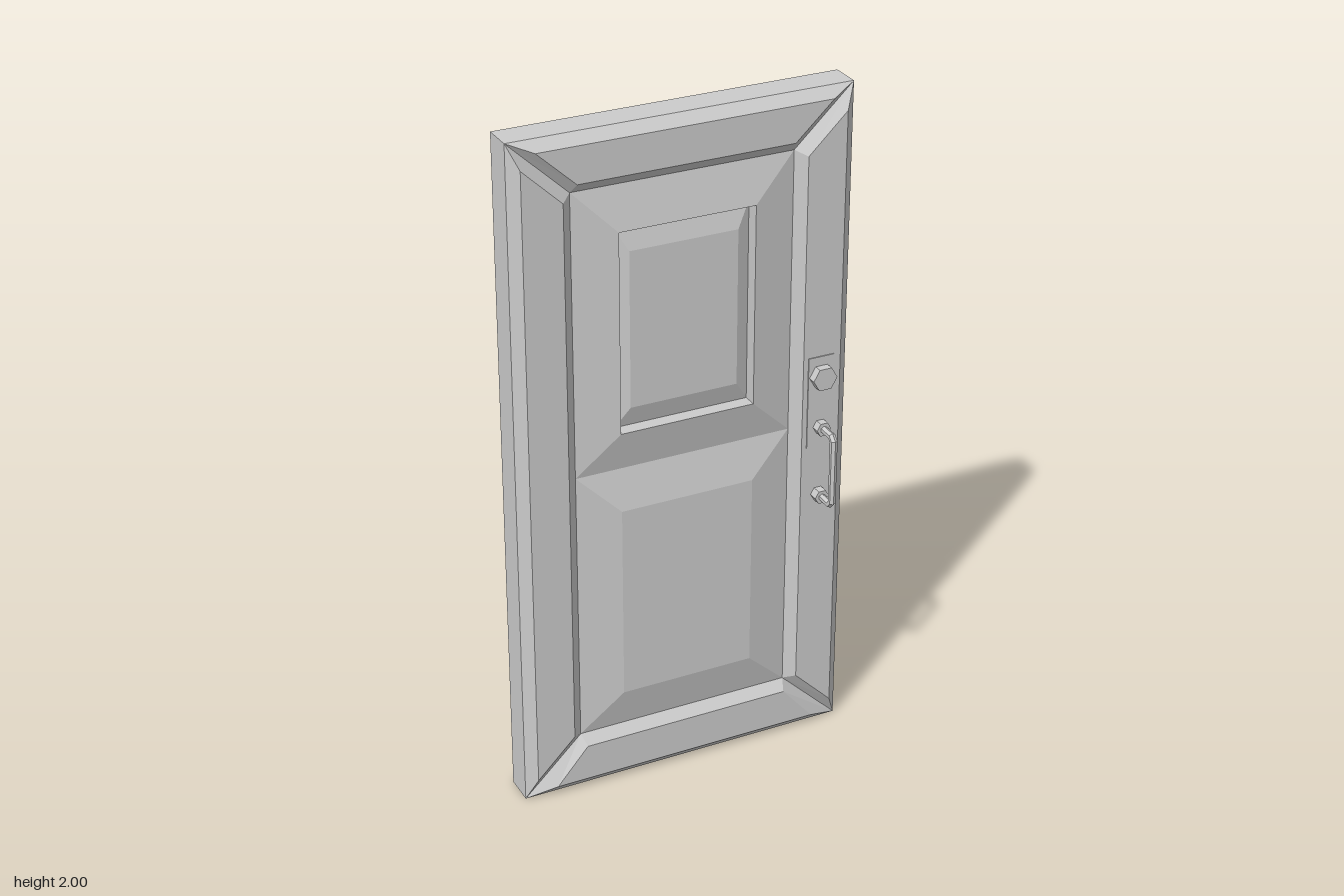
import * as THREE from 'three';

const material = new THREE.MeshStandardMaterial({ color: 0xcccccc, flatShading: true });
const CORE = 0.045; // half thickness of the slab
const FACE = 0.072; // raised level of frame and panels

function addMesh(parent, name, geometry) {
  const mesh = new THREE.Mesh(geometry, material);
  mesh.name = name;
  parent.add(mesh);
  return mesh;
}

// Rectangle corners, counter-clockwise from the front
const rect = (halfWidth, y0, y1) => [[-halfWidth, y0], [halfWidth, y0], [halfWidth, y1], [-halfWidth, y1]];

// Joins four-cornered loops { p, z } with flat bands; optionally closes the last loop
function loft(loops, cap) {
  const area = loops[0].p.reduce((sum, a, i, p) => {
    const b = p[(i + 1) % p.length];
    return sum + a[0] * b[1] - b[0] * a[1];
  }, 0);
  const rings = loops.map(({ p, z }) => {
    const ring = p.map(([x, y]) => [x, y, z]);
    return area < 0 ? ring.reverse() : ring;
  });
  const out = [];
  const quad = (a, b, c, d) => out.push(...a, ...b, ...c, ...a, ...c, ...d);
  for (let k = 0; k + 1 < rings.length; k++) {
    for (let i = 0; i < 4; i++) {
      const j = (i + 1) % 4;
      quad(rings[k][i], rings[k][j], rings[k + 1][j], rings[k + 1][i]);
    }
  }
  if (cap) quad(...rings[rings.length - 1]);
  const geometry = new THREE.BufferGeometry();
  geometry.setAttribute('position', new THREE.Float32BufferAttribute(out, 3));
  geometry.computeVertexNormals();
  return geometry;
}

// Polyline whose tube rings sit exactly on its corners
class Polyline extends THREE.Curve {
  constructor(points) {
    super();
    this.points = points;
  }
  index(u) {
    return Math.round(u * (this.points.length - 1));
  }
  getPointAt(u) {
    return this.points[this.index(u)].clone();
  }
  getTangentAt(u) {
    const i = this.index(u), p = this.points, last = p.length - 1;
    const tangent = new THREE.Vector3();
    if (i > 0) tangent.add(p[i].clone().sub(p[i - 1]).normalize());
    if (i < last) tangent.add(p[i + 1].clone().sub(p[i]).normalize());
    return tangent.normalize();
  }
}

// Hexagonal boss pointing forwards
function boss(radius, z0, z1) {
  return new THREE.CylinderGeometry(radius, radius, z1 - z0, 6)
    .rotateY(Math.PI / 6).rotateX(Math.PI / 2).translate(0, 0, (z0 + z1) / 2);
}

function createHardware() {
  const group = new THREE.Group();
  group.name = 'hardware';

  addMesh(group, 'lockPlate', new THREE.BoxGeometry(0.08, 0.28, 0.006)).position.set(0, 1.08, FACE);
  addMesh(group, 'lock', boss(0.037, FACE, 0.1)).position.y = 1.16;
  for (const y of [0.787, 1.003]) {
    addMesh(group, 'handleMount', boss(0.022, FACE, 0.1)).position.y = y;
  }

  // Pull handle with chamfered corners
  const path = [[0.787, 0.09], [0.787, 0.143], [0.799, 0.155], [0.991, 0.155], [1.003, 0.143], [1.003, 0.09]];
  const curve = new Polyline(path.map(([y, z]) => new THREE.Vector3(0, y, z)));
  addMesh(group, 'handle', new THREE.TubeGeometry(curve, path.length - 1, 0.011, 6, false));
  return group;
}

function createFace(name, hardwareX) {
  const face = new THREE.Group();
  face.name = name;

  // Mitred frame boards with bevelled edges
  const board = (partName, base, top) =>
    addMesh(face, partName, loft([{ p: base, z: CORE }, { p: top, z: FACE }], true));
  board('topRail',
    [[-0.5, 2], [0.5, 2], [0.325, 1.835], [-0.325, 1.835]],
    [[-0.428, 1.97], [0.428, 1.97], [0.315, 1.865], [-0.315, 1.865]]);
  board('bottomRail',
    [[-0.5, 0], [0.5, 0], [0.325, 0.17], [-0.325, 0.17]],
    [[-0.41, 0.03], [0.41, 0.03], [0.315, 0.14], [-0.315, 0.14]]);
  for (const s of [-1, 1]) {
    board('stile',
      [[s * 0.5, 0], [s * 0.5, 2], [s * 0.325, 1.835], [s * 0.325, 0.17]],
      [[s * 0.47, 0.07], [s * 0.47, 1.93], [s * 0.355, 1.82], [s * 0.355, 0.185]]);
  }

  // Raised lower panel
  addMesh(face, 'lowerPanel', loft([
    { p: rect(0.325, 0.17, 1), z: CORE },
    { p: rect(0.2, 0.29, 0.88), z: FACE },
  ], true));

  // Raised upper surround dropping into the inset
  addMesh(face, 'upperPanel', loft([
    { p: rect(0.325, 1, 1.835), z: CORE },
    { p: rect(0.2, 1.12, 1.71), z: FACE },
    { p: rect(0.2, 1.12, 1.71), z: 0.03 },
  ], false));
  addMesh(face, 'insetPanel', loft([
    { p: rect(0.2, 1.12, 1.71), z: 0.03 },
    { p: rect(0.16, 1.18, 1.64), z: 0.048 },
  ], true));

  const hardware = createHardware();
  hardware.position.x = hardwareX;
  face.add(hardware);
  return face;
}

export function createModel() {
  const door = new THREE.Group();
  door.name = 'door';

  // Slab with an opening for the inset panels
  const outline = new THREE.Shape(rect(0.5, 0, 2).map(([x, y]) => new THREE.Vector2(x, y)));
  outline.holes.push(new THREE.Path(rect(0.2, 1.12, 1.71).map(([x, y]) => new THREE.Vector2(x, y))));
  const slab = new THREE.ExtrudeGeometry(outline, { depth: 2 * CORE, bevelEnabled: false });
  addMesh(door, 'slab', slab.translate(0, 0, -CORE));

  // Both sides carry the same relief, with the hardware over the same edge
  door.add(createFace('frontFace', 0.41));
  const back = createFace('backFace', -0.41);
  back.rotation.y = Math.PI;
  door.add(back);
  return door;
}
